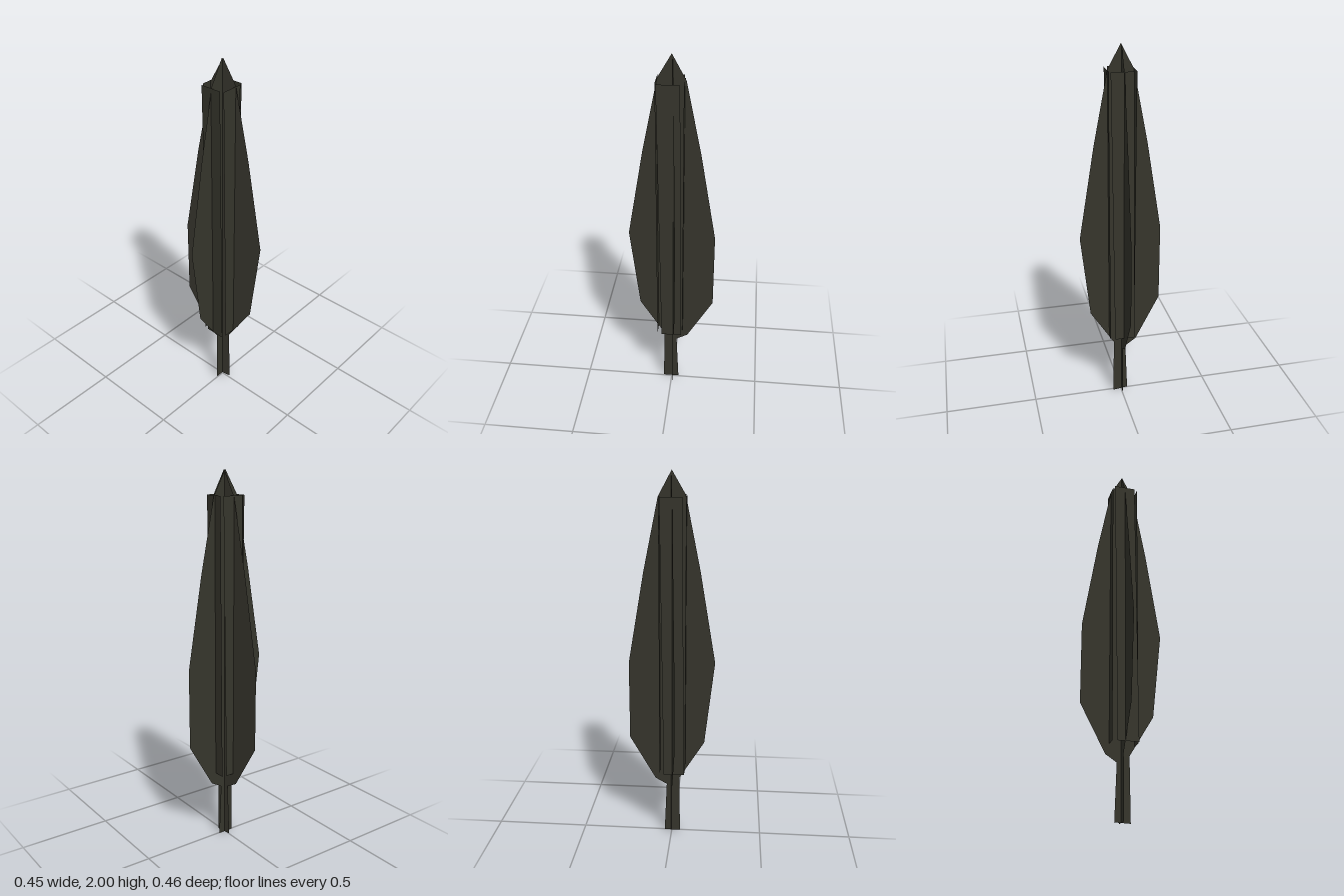
import * as THREE from 'three';

export function createModel() {
  const tree = new THREE.Group();
  tree.name = 'cypressTree';
  const foliage = new THREE.MeshStandardMaterial({ color: 0x36352c, side: THREE.DoubleSide, flatShading: true });
  foliage.name = 'dark foliage';

  const addCard = (name, points, turn, x = 0, z = 0) => {
    const shape = new THREE.Shape(points.map(([px, py]) => new THREE.Vector2(px, py)));
    const card = new THREE.Mesh(new THREE.ShapeGeometry(shape), foliage);
    card.name = name;
    card.rotation.y = turn;
    card.position.set(x, 0, z);
    tree.add(card);
  };

  // Tall leaf outline with its short stem, used for both crossed cards
  const outline = [
    [-0.04, 0], [0.047, 0], [0.042, 0.33], [0.178, 0.55], [0.23, 1.01], [0.147, 1.5], [0.07, 1.88],
    [0, 2],
    [-0.07, 1.87], [-0.147, 1.49], [-0.23, 1.0], [-0.23, 0.57], [-0.09, 0.325], [-0.028, 0.29],
  ];
  addCard('wideFoliageCard', outline, 0.16, 0, -0.004);
  addCard('crossFoliageCard', outline, -Math.PI / 2, -0.004, 0);

  // Four slightly leaning panels forming the open core
  const panel = [[-0.045, 0.38], [0.066, 0.38], [0.052, 1.875], [-0.063, 1.875]];
  for (let i = 0; i < 4; i++) {
    const a = i * Math.PI / 2;
    addCard('corePanel' + (i + 1), panel, a, Math.sin(a) * 0.069, Math.cos(a) * 0.069 + 0.006);
  }
  return tree;
}
